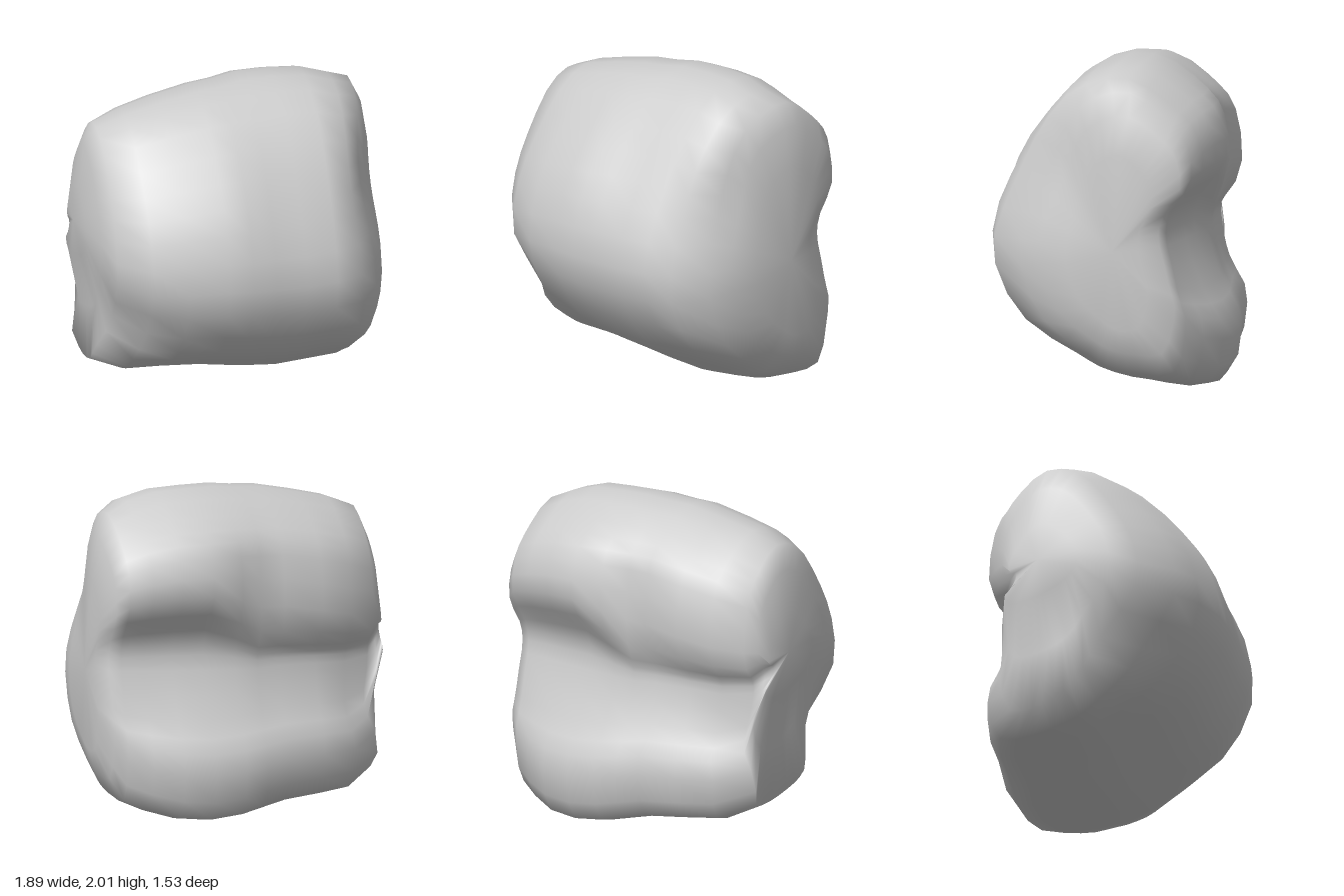
import * as THREE from 'three';

// Side outline of the boulder as [z, y]: top, front, underside, hollow back
const OUTLINE = [
  [-0.21, 2.0], [0.14, 1.93], [0.48, 1.61], [0.7, 1.27], [0.77, 0.84], [0.54, 0.42],
  [0.13, 0.17], [-0.05, 0.08], [-0.38, 0.0], [-0.7, 0.02], [-0.77, 0.37], [-0.65, 0.6],
  [-0.54, 0.95], [-0.56, 1.13], [-0.73, 1.4], [-0.68, 1.67], [-0.52, 1.83],
];

// Extents of the slices from side to side: [x, back z, front z, bottom y, top y]
const SLICES = [
  [-0.94, -0.34, 0.1, 0.9, 1.4],
  [-0.9, -0.41, 0.3, 0.55, 1.65],
  [-0.84, -0.48, 0.48, 0.2, 1.8],
  [-0.66, -0.6, 0.66, 0.11, 1.87],
  [-0.45, -0.66, 0.72, 0.1, 1.92],
  [-0.2, -0.7, 0.76, 0.08, 1.97],
  [-0.05, -0.73, 0.76, 0.05, 1.98],
  [0.1, -0.76, 0.75, 0.02, 2.0],
  [0.3, -0.76, 0.73, 0.0, 2.0],
  [0.5, -0.74, 0.72, 0.02, 1.99],
  [0.68, -0.7, 0.7, 0.07, 1.94],
  [0.82, -0.66, 0.5, 0.13, 1.88],
  [0.89, -0.6, 0.37, 0.26, 1.74],
  [0.935, -0.42, 0.16, 0.42, 1.5],
];

const bump = (v, centre, width) => Math.exp(-(((v - centre) / width) ** 2));
const step = THREE.MathUtils.smoothstep;

// Local dents and swellings
function weather(x, y, z) {
  const right = step(x, -0.1, 0.3);
  const left = 1 - right;
  const back = 1 - step(z, -0.4, -0.1);
  const front = step(z, 0, 0.3);
  const low = 1 - step(y, 0.3, 0.9);
  const leftSide = 1 - step(x, -0.85, -0.5);
  const rightSide = step(x, 0.5, 0.9);
  const p = new THREE.Vector3(x, y, z);
  // overhang at the back hangs lower on one half, where the hollow is shallower
  p.y -= 0.16 * left * back * bump(y, 1.25, 0.25);
  p.z += back * bump(y, 1.05, 0.25) * (0.02 * right - 0.04 * left);
  // notch where the two halves of the overhang meet
  p.z += 0.09 * back * bump(x, -0.06, 0.17) * bump(y, 1.5, 0.25);
  // lower back corners are drawn in
  p.z += back * low * (0.06 * leftSide + 0.09 * rightSide);
  // front leans back a little on one half, with a rounder corner
  p.z -= 0.05 * right * front * bump(y, 1.4, 0.3);
  p.z -= 0.08 * front * bump(x, 0.77, 0.2) * bump(y, 1.15, 0.35);
  // one side narrows towards the front at the top and fills out at the foot
  p.x -= 0.07 * rightSide * step(z, -0.3, 0.2) * bump(y, 1.45, 0.4);
  p.y -= 0.06 * rightSide * low * step(z, -0.4, 0);
  // small foot at the lower corner with a dent above it
  p.x += leftSide * (0.04 * bump(y, 0.62, 0.18) - 0.06 * bump(y, 0.35, 0.14));
  p.z -= 0.2 * front * bump(x, -0.8, 0.22) * bump(y, 0.6, 0.25);
  return p;
}

function boulderGeometry() {
  const curve = new THREE.CatmullRomCurve3(
    OUTLINE.map(([z, y]) => new THREE.Vector3(0, y, z)), true, 'centripetal');
  const n = 40;
  const ring = curve.getPoints(n).slice(0, n);
  const positions = [];
  const index = [];

  for (const [x, back, front, bottom, top] of SLICES) {
    for (const p of ring) {
      const z = THREE.MathUtils.mapLinear(p.z, -0.77, 0.77, back, front);
      const y = THREE.MathUtils.mapLinear(p.y, 0, 2, bottom, top);
      positions.push(...weather(x, y, z).toArray());
    }
  }
  const last = SLICES.length - 1;
  for (let i = 0; i < last; i++) {
    for (let j = 0; j < n; j++) {
      const a = i * n + j, b = i * n + (j + 1) % n;
      index.push(a, b, b + n, a, b + n, a + n);
    }
  }
  // close both sides
  const start = positions.length / 3;
  positions.push(-0.955, 1.15, -0.15, 0.94, 0.9, -0.15);
  for (let j = 0; j < n; j++) {
    const k = (j + 1) % n;
    index.push(start, k, j, start + 1, last * n + j, last * n + k);
  }

  const geometry = new THREE.BufferGeometry();
  geometry.setAttribute('position', new THREE.Float32BufferAttribute(positions, 3));
  geometry.setIndex(index);
  geometry.computeVertexNormals();
  return geometry;
}

export function createModel() {
  const group = new THREE.Group();
  group.name = 'rock';
  const boulder = new THREE.Mesh(
    boulderGeometry(), new THREE.MeshStandardMaterial({ color: 0xcccccc }));
  boulder.name = 'boulder';
  group.add(boulder);
  return group;
}
